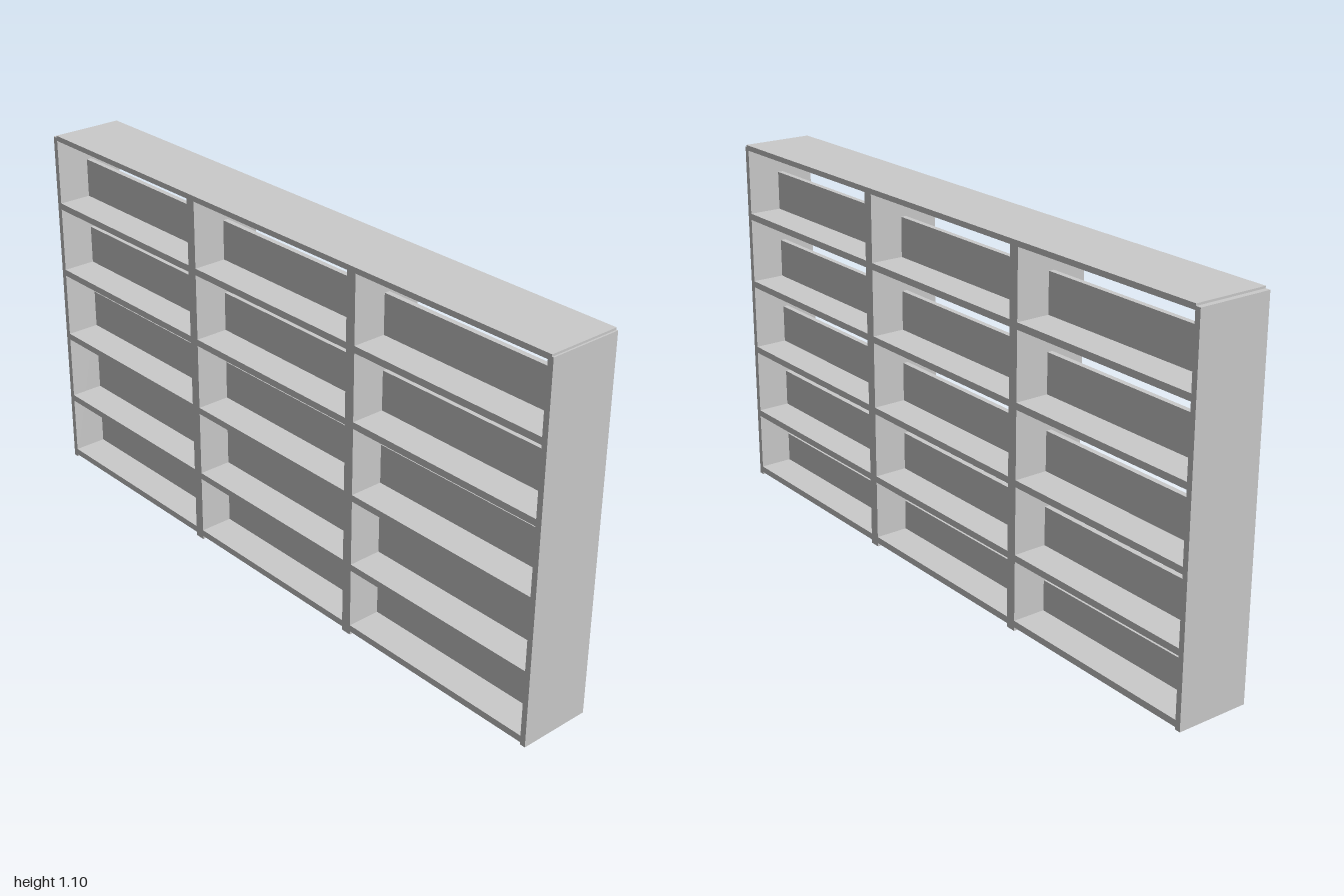
import * as THREE from 'three';

export function createModel() {
  const group = new THREE.Group();
  const material = new THREE.MeshStandardMaterial({ color: 0xcccccc });
  const depth = 0.22;

  // Adds a board spanning x0..x1 and y0..y1, centred on z = 0
  function board(name, x0, x1, y0, y1, d = depth) {
    const mesh = new THREE.Mesh(new THREE.BoxGeometry(x1 - x0, y1 - y0, d), material);
    mesh.name = name;
    mesh.position.set((x0 + x1) / 2, (y0 + y1) / 2, 0);
    group.add(mesh);
  }

  // Outer sides and top board
  board('rightSide', -1, -0.983, 0.004, 1.094);
  board('leftSide', 0.983, 1, 0.004, 1.094);
  board('topBoard', -0.985, 0.995, 1.084, 1.1);

  // Upright dividers, reaching the floor
  board('rightDivider', -0.347, -0.315, 0, 1.084);
  board('leftDivider', 0.312, 0.344, 0, 1.084);

  // Three bays of five shelves, each with a low stop board along the middle
  const bays = [[-0.983, -0.347], [-0.315, 0.312], [0.344, 0.983]];
  const shelfTops = [0.031, 0.229, 0.447, 0.666, 0.885];
  for (const [x0, x1] of bays) {
    shelfTops.forEach((top, i) => {
      board('shelf', x0, x1, top - 0.02, top);
      board('middleStop', x0, x1, top, 0.123 + i * 0.22, 0.016);
    });
  }
  return group;
}
